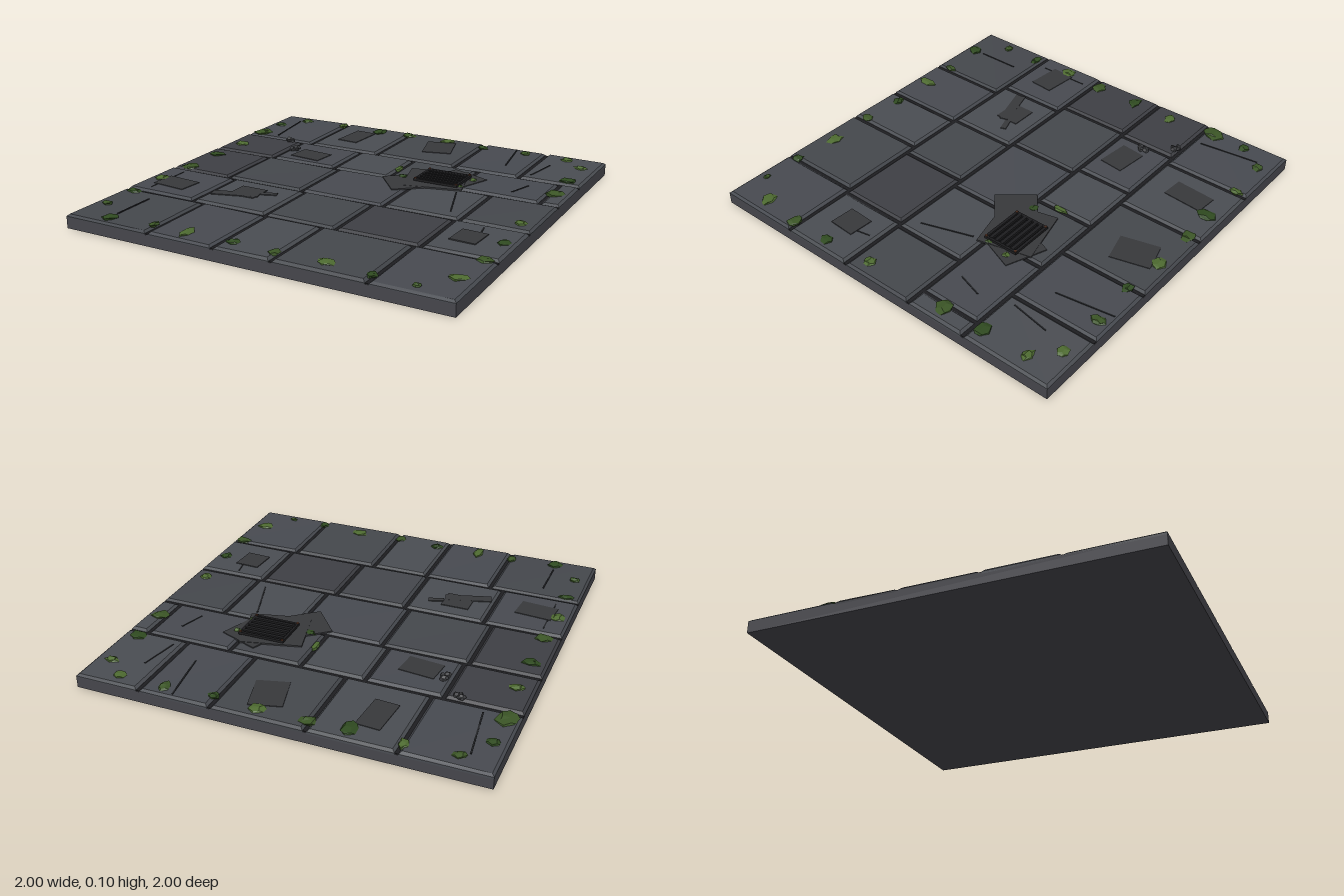
import * as THREE from 'three';

const mat = (color, extra = {}) => new THREE.MeshStandardMaterial({ color, roughness: 0.9, flatShading: true, ...extra });
const M = {
  slab: mat(0x46464c), grout: mat(0x1e1e21), patch: mat(0x37383b), crack: mat(0x232427),
  iron: mat(0x1d1d1f), pit: mat(0x0e0e10), rust: mat(0x5a3524), rubble: mat(0x3a3b3e),
  tiles: [0x474a50, 0x44474c, 0x4a4d52, 0x3e3f44].map((c) => mat(c)),
  moss: [0x3b5526, 0x4d6a30, 0x2f4a20].map((c) => mat(c)),
};

// Seeded random numbers
let seed = 7;
const rand = () => (seed = (seed * 16807) % 2147483647) / 2147483647;

function add(parent, name, geometry, material, x, y, z, turn = 0) {
  const mesh = new THREE.Mesh(geometry, material);
  mesh.name = name;
  mesh.position.set(x, y, z);
  mesh.rotation.y = THREE.MathUtils.degToRad(turn);
  parent.add(mesh);
  return mesh;
}

// Paving stone with a bevelled rim and slightly uneven top corners
function stoneGeometry(w, d) {
  const h = 0.022, bevel = 0.012;
  const g = new THREE.BoxGeometry(w, h, d, 1, 2, 1);
  const p = g.attributes.position;
  const lift = [0, 1, 2, 3].map(() => (rand() - 0.5) * 0.004);
  for (let i = 0; i < p.count; i++) {
    const x = p.getX(i), y = p.getY(i), z = p.getZ(i);
    if (y > 0.005) {
      p.setXYZ(i, x - Math.sign(x) * bevel, y + lift[(x > 0 ? 1 : 0) + (z > 0 ? 2 : 0)], z - Math.sign(z) * bevel);
    }
  }
  const flat = g.toNonIndexed();
  flat.computeVertexNormals();
  return flat;
}

// Low, irregular lump
function lumpGeometry(w, h, d) {
  const g = new THREE.DodecahedronGeometry(1, 0);
  const p = g.attributes.position, scales = {};
  for (let i = 0; i < p.count; i++) {
    const key = [p.getX(i), p.getY(i), p.getZ(i)].map((v) => Math.round(v * 100)).join();
    const s = (scales[key] ??= 0.72 + rand() * 0.5);
    p.setXYZ(i, p.getX(i) * s * w / 2, p.getY(i) * s * h / 2, p.getZ(i) * s * d / 2);
  }
  g.computeVertexNormals();
  return g;
}

export function createModel() {
  seed = 7;
  const root = new THREE.Group();
  root.name = 'pavedFloor';
  const group = (name) => {
    const g = new THREE.Group();
    g.name = name;
    root.add(g);
    return g;
  };

  // Foundation and the dark joint bed on it
  add(root, 'foundation', new THREE.BoxGeometry(2, 0.056, 2), M.slab, 0, 0.028, 0);
  add(root, 'jointBed', new THREE.BoxGeometry(1.996, 0.006, 1.996), M.grout, 0, 0.057, 0);

  // Staggered rows of stones
  const stones = group('stones');
  const rowEdges = [-1, -0.54, -0.22, 0.177, 0.555, 1];
  const joints = [
    [-0.58, -0.16, 0.305, 0.67],
    [-0.63, -0.25, 0.075, 0.45, 0.9],
    [-0.65, -0.21, 0.25, 0.65],
    [-0.6, -0.18, 0.2, 0.63],
    [-0.525, -0.165, 0.14, 0.605],
  ];
  const gap = 0.009;
  const inset = (v) => (Math.abs(v) === 1 ? 0 : gap);
  joints.forEach((row, r) => {
    const xs = [-1, ...row, 1];
    const z0 = rowEdges[r] + inset(rowEdges[r]), z1 = rowEdges[r + 1] - inset(rowEdges[r + 1]);
    for (let c = 0; c < xs.length - 1; c++) {
      const x0 = xs[c] + inset(xs[c]), x1 = xs[c + 1] - inset(xs[c + 1]);
      const dark = (r === 1 && c === 0) || (r === 2 && c === 0) || (r === 3 && c === 3);
      add(stones, 'stone', stoneGeometry(x1 - x0, z1 - z0), M.tiles[dark ? 3 : (r + c * 2) % 3],
        (x0 + x1) / 2, 0.061, (z0 + z1) / 2);
    }
  });

  // Worn patches: x, z, width, depth, turn
  const patches = group('wornPatches');
  [
    [-0.41, -0.78, 0.12, 0.21, -4], [0.1, -0.81, 0.16, 0.2, 15], [-0.46, -0.345, 0.18, 0.13, -6],
    [-0.82, 0.39, 0.19, 0.13, -5], [-0.42, 0.335, 0.145, 0.13, 0], [-0.46, 0.385, 0.24, 0.055, 17],
    [-0.31, 0.31, 0.08, 0.03, 20], [0.78, 0.36, 0.13, 0.14, -3],
  ].forEach(([x, z, w, d, turn], i) =>
    add(patches, 'wornPatch', new THREE.BoxGeometry(w, 0.006, d), M.patch, x, 0.0725 + i * 0.0002, z, turn));

  // Cracks: start x, z, end x, z
  const cracks = group('cracks');
  [
    [-0.87, -0.9, -0.83, -0.59], [0.5, -0.98, 0.545, -0.69], [0.755, -0.8, 0.72, -0.6],
    [0.77, -0.43, 0.73, -0.3], [0.49, -0.16, 0.575, 0.1], [-0.79, 0.65, -0.79, 0.88],
    [-0.895, 0.23, -0.895, 0.5], [0.795, 0.22, 0.81, 0.3],
  ].forEach(([x0, z0, x1, z1]) => {
    const len = Math.hypot(x1 - x0, z1 - z0);
    const crack = add(cracks, 'crack', new THREE.BoxGeometry(0.007, 0.005, len), M.crack,
      (x0 + x1) / 2, 0.0725, (z0 + z1) / 2);
    crack.rotation.y = Math.atan2(x1 - x0, z1 - z0);
  });

  // Drain: overlapping plates, framed pit with bars, rusty corner bolts
  const drain = group('drain');
  [
    [0.41, -0.345, 0.22, 0.22, -21], [0.27, -0.24, 0.38, 0.21, 40], [0.32, -0.29, 0.31, 0.28, 14],
  ].forEach(([x, z, w, d, turn], i) =>
    add(drain, 'drainPlate', new THREE.BoxGeometry(w, 0.008, d), M.patch, x, 0.073 + i * 0.001, z, turn));
  const gx = 0.35, gz = -0.305, gw = 0.24, gd = 0.19, rim = 0.014;
  add(drain, 'pit', new THREE.BoxGeometry(gw, 0.008, gd), M.pit, gx, 0.077, gz);
  for (const s of [-1, 1]) {
    add(drain, 'frameSide', new THREE.BoxGeometry(rim, 0.016, gd), M.iron, gx + s * (gw - rim) / 2, 0.083, gz);
    add(drain, 'frameEnd', new THREE.BoxGeometry(gw, 0.016, rim), M.iron, gx, 0.083, gz + s * (gd - rim) / 2);
    for (const t of [-1, 1]) {
      add(drain, 'bolt', new THREE.CylinderGeometry(0.007, 0.007, 0.006, 6), M.rust,
        gx + s * (gw - rim) / 2, 0.092, gz + t * (gd - rim) / 2);
    }
  }
  for (let i = 0; i < 5; i++) {
    add(drain, 'grateBar', new THREE.BoxGeometry(gw - 0.02, 0.012, 0.017), M.iron, gx, 0.087, gz + (i - 2) * 0.032);
  }

  // Moss clumps: x, z, width, depth
  const moss = group('moss');
  [
    [-0.83, -0.925, 0.06, 0.06], [-0.59, -0.94, 0.05, 0.07], [-0.335, -0.93, 0.07, 0.1], [-0.15, -0.94, 0.07, 0.07],
    [0.1, -0.94, 0.08, 0.07], [0.32, -0.925, 0.06, 0.05], [0.565, -0.94, 0.06, 0.07], [0.81, -0.935, 0.06, 0.06],
    [-0.935, -0.785, 0.06, 0.05], [-0.94, -0.6, 0.09, 0.11], [-0.915, -0.345, 0.07, 0.06], [-0.92, -0.11, 0.08, 0.06],
    [-0.92, 0.135, 0.08, 0.08], [-0.935, 0.355, 0.06, 0.08], [-0.925, 0.59, 0.08, 0.05], [-0.925, 0.795, 0.06, 0.04],
    [0.915, -0.825, 0.07, 0.05], [0.925, -0.59, 0.08, 0.07], [0.93, -0.375, 0.08, 0.08], [0.925, 0.09, 0.06, 0.06],
    [0.94, 0.355, 0.06, 0.07], [0.95, 0.575, 0.08, 0.06], [0.92, 0.795, 0.08, 0.06], [-0.785, 0.94, 0.07, 0.07],
    [-0.545, 0.915, 0.05, 0.06], [-0.355, 0.925, 0.05, 0.1], [-0.105, 0.915, 0.06, 0.05], [0.115, 0.925, 0.05, 0.06],
    [0.365, 0.915, 0.08, 0.08], [0.6, 0.94, 0.05, 0.05], [0.805, 0.945, 0.04, 0.03],
    [0.075, -0.355, 0.03, 0.07], [0.15, -0.25, 0.06, 0.04], [0.475, -0.24, 0.04, 0.04], [0.495, -0.365, 0.04, 0.04],
  ].forEach(([x, z, w, d], i) =>
    add(moss, 'mossClump', lumpGeometry(w * 1.1, 0.026, d * 1.1), M.moss[i % 3], x, 0.074, z));

  // Loose rubble
  const rubble = group('rubble');
  [
    [-0.71, -0.525, 0.04], [-0.685, -0.515, 0.035], [-0.7, -0.5, 0.025],
    [-0.59, -0.405, 0.04], [-0.595, -0.37, 0.035], [-0.575, -0.38, 0.03],
  ].forEach(([x, z, s]) => add(rubble, 'rubblePiece', lumpGeometry(s, s * 0.8, s), M.rubble, x, 0.08, z));

  return root;
}
